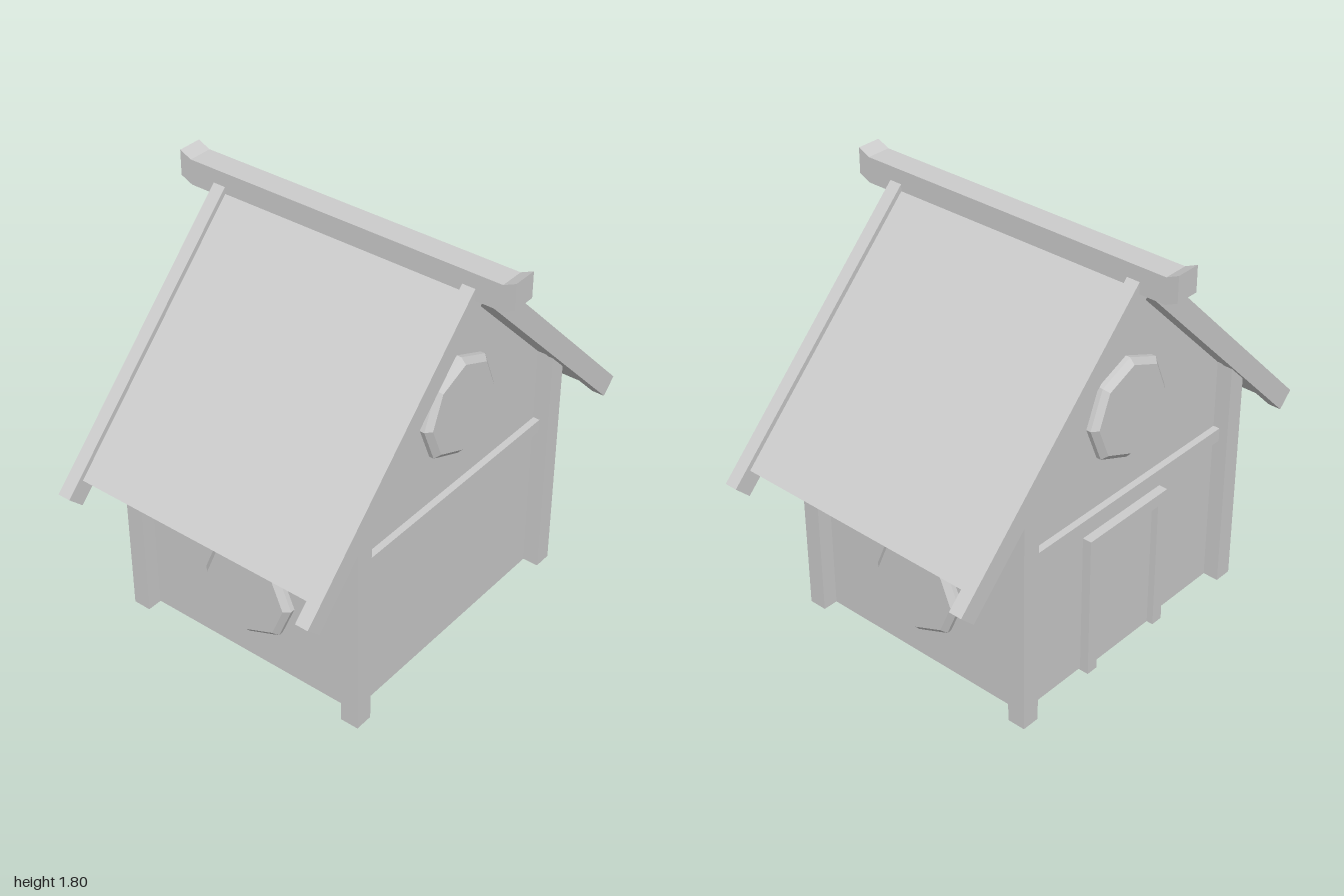
import * as THREE from 'three';

const mat = new THREE.MeshStandardMaterial({ color: 0xcccccc, flatShading: true });

export function createModel() {
  const house = new THREE.Group();
  house.name = 'house';

  const add = (name, geo, x = 0, y = 0, z = 0) => {
    const m = new THREE.Mesh(geo, mat);
    m.name = name;
    m.position.set(x, y, z);
    house.add(m);
    return m;
  };
  const box = (name, x0, x1, y0, y1, z0, z1) =>
    add(name, new THREE.BoxGeometry(x1 - x0, y1 - y0, z1 - z0),
      (x0 + x1) / 2, (y0 + y1) / 2, (z0 + z1) / 2);
  const extrude = (pts, depth) =>
    new THREE.ExtrudeGeometry(new THREE.Shape(pts.map(p => new THREE.Vector2(...p))),
      { depth, bevelEnabled: false });
  // Profile of [z, y] points, extruded along x from x0 to x1
  const alongX = (name, pts, x0, x1) => {
    const m = add(name, extrude(pts, x1 - x0), x1);
    m.rotation.y = -Math.PI / 2;
    return m;
  };

  // Wall planes and post outer limits
  const W = { x0: -0.53, x1: 0.51, z0: -0.58, z1: 0.60 };
  const P = { x0: -0.6, x1: 0.58, z0: -0.647, z1: 0.668 };
  const base = 0.01, apex = 1.65, t = 0.08;
  const under = z => apex - Math.abs(z);

  // Walls with both gables
  alongX('walls', [[W.z0, base], [W.z1, base], [W.z1, under(W.z1)], [0, apex], [W.z0, under(W.z0)]],
    W.x0, W.x1);

  // Corner posts, cut to the roof slope
  for (const x of [P.x0, P.x1 - t])
    for (const z of [P.z0, P.z1 - t])
      alongX('cornerPost', [[z, base], [z + t, base], [z + t, under(z + t)], [z, under(z)]], x, x + t);

  // Horizontal beams on all four walls
  const b = 0.03;
  box('sideBeam', W.x1 - 0.02, W.x1 + b, 0.70, 0.76, P.z0 + t, P.z1 - t);
  box('sideBeam', W.x0 - b, W.x0 + 0.02, 0.70, 0.76, P.z0 + t, P.z1 - t);
  box('frontBeam', P.x0 + t, P.x1 - t, 0.70, 0.76, W.z1 - 0.02, W.z1 + b);
  box('backBeam', P.x0 + t, P.x1 - t, 0.70, 0.76, W.z0 - b, W.z0 + 0.02);

  // Roof: a chevron with square-cut eaves; sum = outer apex height
  const chevron = (zEnd, sum, drop) => {
    const d = drop / 2, y = sum - zEnd;
    return [[0, sum], [-zEnd, y], [-zEnd + d, y - d], [0, sum - drop], [zEnd - d, y - d], [zEnd, y]];
  };
  alongX('roofPanels', chevron(0.922, 1.743, 0.086), -0.57, 0.57);
  alongX('bargeBoard', chevron(1, 1.773, 0.128), -0.618, -0.56);
  alongX('bargeBoard', chevron(1, 1.773, 0.128), 0.56, 0.618);

  // Ridge beam with upturned ends
  add('ridgeBeam', extrude([[-0.733, 1.67], [0.733, 1.67], [0.787, 1.695], [0.787, 1.805],
    [0.733, 1.78], [-0.733, 1.78], [-0.787, 1.805], [-0.787, 1.695]], 0.108), 0, 0, -0.054);

  // Octagonal windows: a short rim with a bevelled face
  const profile = [[0, -0.03], [0.22, -0.03], [0.22, 0.02], [0.195, 0.042], [0, 0.042]]
    .map(p => new THREE.Vector2(...p));
  const windowGeo = new THREE.LatheGeometry(profile, 8).rotateX(Math.PI / 2);
  const win = (name, x, y, z, turn) => { add(name, windowGeo, x, y, z).rotation.y = turn; };
  win('frontWindow', -0.005, 0.37, W.z1, 0);
  win('backWindow', -0.005, 0.37, W.z0, Math.PI);
  win('leftWindow', W.x1, 1.14, -0.005, Math.PI / 2);
  win('rightWindow', W.x0, 1.14, -0.005, -Math.PI / 2);

  // Door and its frame on the right gable
  const f = 0.055, d0 = -0.23, d1 = 0.24, top = 0.65;
  alongX('doorFrame', [[d0, 0], [d0 + f, 0], [d0 + f, top - f], [d1 - f, top - f],
    [d1 - f, 0], [d1, 0], [d1, top], [d0, top]], -0.57, -0.36);
  box('door', -0.54, -0.36, 0, top - f, d0 + f, d1 - f);

  return house;
}
